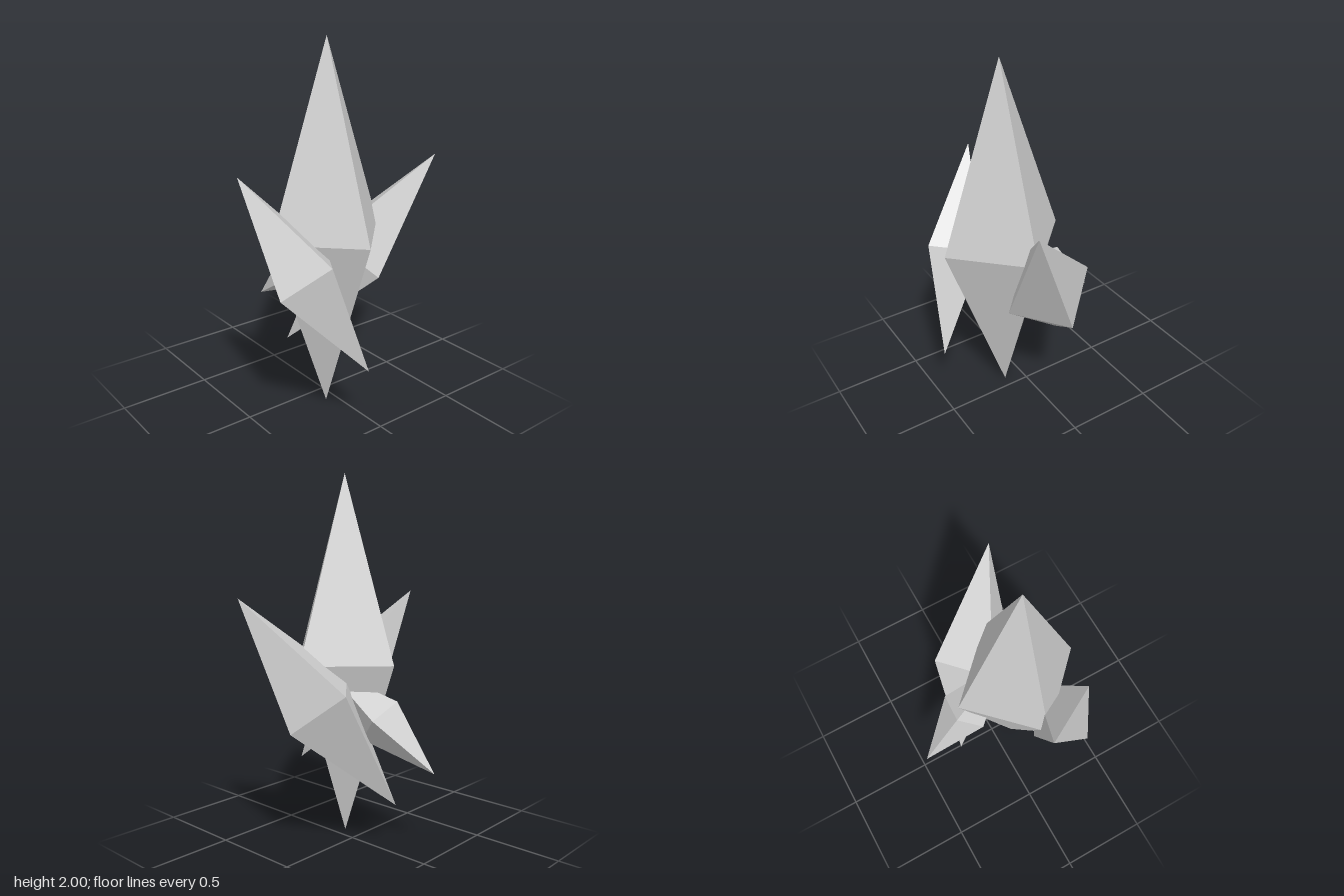
import * as THREE from 'three';

const material = new THREE.MeshStandardMaterial({ color: 0xcccccc, flatShading: true });

// One stretched octahedral crystal: centre, long-axis direction, one side-corner
// direction and the half length (its girdle radius is 0.35 of that).
function crystal(name, center, axis, side, length) {
  const y = new THREE.Vector3(...axis).normalize();
  const x = new THREE.Vector3(...side);
  x.addScaledVector(y, -x.dot(y)).normalize();
  const z = new THREE.Vector3().crossVectors(x, y);
  const radius = length * 0.35;

  const geometry = new THREE.OctahedronGeometry(1, 0);
  geometry.scale(radius, length, radius);
  geometry.applyMatrix4(new THREE.Matrix4().makeBasis(x, y, z).setPosition(...center));
  geometry.computeVertexNormals();

  const mesh = new THREE.Mesh(geometry, material);
  mesh.name = name;
  return mesh;
}

export function createModel() {
  const group = new THREE.Group();
  group.name = 'crystalCluster';
  group.add(
    // tall upright crystal
    crystal('mainCrystal', [-0.063, 1, 0.112], [0, 1, 0], [1, 0, 0], 1),
    // leaning crystals around it
    crystal('leftCrystal', [0.238, 0.801, 0.015], [0.303, 0.56, 0.27], [0.218, -0.115, -0.005], 0.695),
    crystal('rightCrystal', [-0.315, 0.853, 0.263], [-0.23, 0.498, -0.228], [-0.198, -0.063, 0.063], 0.597),
    // small crystal pointing back and down
    crystal('backCrystal', [-0.011, 0.707, -0.186], [-0.079, -0.247, -0.304], [0.121, 0.028, -0.054], 0.4)
  );
  return group;
}
